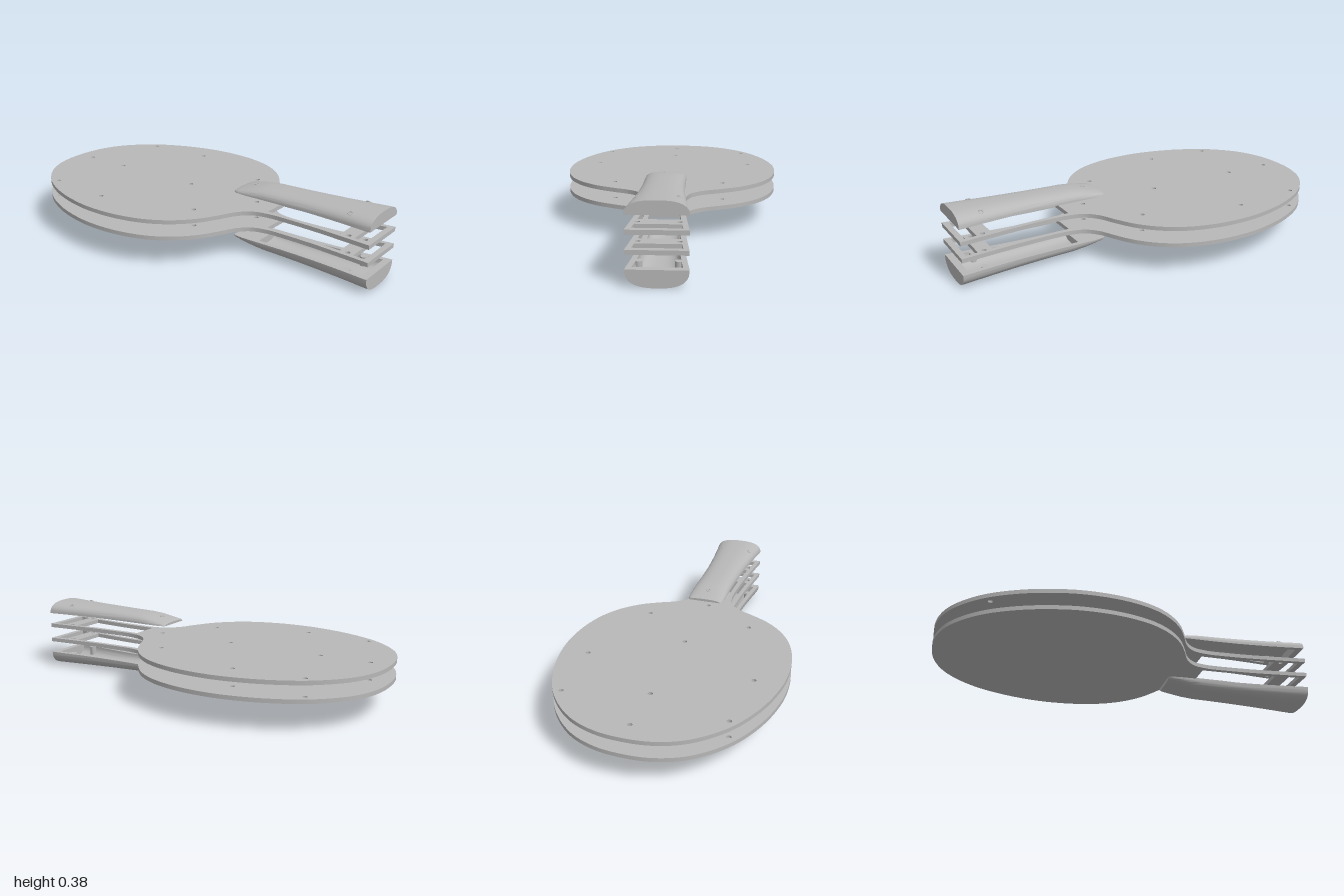
import * as THREE from 'three';
import { toCreasedNormals } from 'three/addons/utils/BufferGeometryUtils.js';

const grey = new THREE.MeshStandardMaterial({ color: 0xb8b8b8 });
grey.name = 'plain grey';

// Piecewise linear lookup in [position, value] pairs
function lookup(table, z) {
  for (let i = 1; i < table.length; i++) {
    const [a, va] = table[i - 1], [b, vb] = table[i];
    if (z <= b) return va + (vb - va) * Math.max(0, (z - a) / (b - a));
  }
  return table[table.length - 1][1];
}

const gripWidth = z => lookup([[0.222, 0.086], [0.235, 0.095], [0.28, 0.1], [0.5, 0.1], [0.6, 0.102],
  [0.7, 0.107], [0.8, 0.115], [0.9, 0.125], [0.985, 0.135], [1, 0.135]], z);
const upperHeight = z => lookup([[0.222, 0.013], [0.235, 0.018], [0.34, 0.041], [0.4, 0.047], [1, 0.062]], z);
const lowerHeight = z => lookup([[0.222, 0.018], [0.235, 0.022], [0.34, 0.048], [0.4, 0.056], [1, 0.08]], z);

function mesh(name, geometry) {
  const m = new THREE.Mesh(geometry, grey);
  m.name = name;
  return m;
}

// Domed tunnel along z with closed ends; inward turns its faces to the inside
function dome(stations, width, height, inward = false) {
  const n = 32, pos = [];
  const ring = z => Array.from({ length: n + 1 }, (_, i) => {
    const t = Math.PI * i / n, c = Math.cos(t);
    return [width(z) * Math.sign(c) * Math.abs(c) ** 0.77, height(z) * Math.max(0, Math.sin(t)) ** 0.77, z];
  });
  const tri = (a, b, c) => pos.push(...a, ...(inward ? c : b), ...(inward ? b : c));
  const rings = stations.map(ring);
  for (let s = 0; s + 1 < rings.length; s++) {
    const A = rings[s], B = rings[s + 1];
    for (let i = 0; i < n; i++) {
      tri(A[i], A[i + 1], B[i]);
      tri(B[i], A[i + 1], B[i + 1]);
    }
  }
  const first = rings[0], last = rings[rings.length - 1];
  for (let i = 0; i < n; i++) {
    tri([0, 0, first[0][2]], first[i + 1], first[i]);
    tri([0, 0, last[0][2]], last[i], last[i + 1]);
  }
  const g = new THREE.BufferGeometry();
  g.setAttribute('position', new THREE.Float32BufferAttribute(pos, 3));
  return toCreasedNormals(g, 0.6);
}

// Closed x/z outline from a width rule
function outline(stations, width) {
  return [...stations.map(z => new THREE.Vector2(width(z), z)),
    ...[...stations].reverse().map(z => new THREE.Vector2(-width(z), z))];
}

const circle = (x, z, r) => new THREE.Path().absarc(x, z, r, 0, Math.PI * 2, true);
const gripScrews = [[0, 0.3], [-0.09, 0.875], [0.09, 0.875]];

// Hollow half of the grip, flat side down at y = 0
function gripShell(name, height, screws) {
  const group = new THREE.Group();
  group.name = name;
  const outer = [0.222, 0.228, 0.235, 0.255, 0.28, 0.34, 0.37, 0.4, 0.5, 0.6, 0.7, 0.8, 0.9, 0.985, 1];
  const inner = [0.37, 0.4, 0.5, 0.6, 0.7, 0.8, 0.9, 0.965];
  const innerWidth = z => gripWidth(z) - 0.025;
  const innerHeight = z => height(z) - 0.015;
  group.add(mesh('gripOuter', dome(outer, gripWidth, height)));
  group.add(mesh('gripCavity', dome(inner, innerWidth, innerHeight, true)));
  const rim = new THREE.Shape(outline(outer, gripWidth));
  rim.holes.push(new THREE.Path(outline(inner, innerWidth)));
  group.add(mesh('gripRim', new THREE.ShapeGeometry(rim).rotateX(Math.PI / 2)));
  // Screw posts in the cavity and seats on the surface
  for (const [x, z] of gripScrews) {
    const u = Math.abs(x) / gripWidth(z);
    const y = height(z) * (1 - u ** 2.6) ** (1 / 2.6);
    if (x) {
      const h = y - 0.012;
      const post = mesh('screwPost', new THREE.CylinderGeometry(0.018, 0.018, h, 20));
      post.position.set(x * 0.97, h / 2, z);
      group.add(post);
    }
    if (screws) {
      const seat = mesh('screwSeat', new THREE.TorusGeometry(0.01, 0.003, 8, 24).rotateX(Math.PI / 2));
      seat.position.set(x, y, z);
      seat.rotation.set(x ? 0 : -0.2, 0, -Math.sign(x) * 0.6);
      group.add(seat);
    }
  }
  return group;
}

// Paddle outline: oval head running into the flared grip
function bladeShape() {
  const half = [[0, -1], [0.14, -0.985], [0.28, -0.925], [0.42, -0.79], [0.515, -0.61], [0.566, -0.42],
    [0.577, -0.28], [0.563, -0.13], [0.52, 0.01], [0.455, 0.115], [0.365, 0.2], [0.27, 0.255],
    [0.18, 0.3], [0.125, 0.355], [0.102, 0.44], [0.101, 0.56], [0.107, 0.7], [0.122, 0.87], [0.135, 1]];
  const all = [...half.slice(1).reverse().map(([x, z]) => [-x, z]), ...half];
  const curve = new THREE.CatmullRomCurve3(all.map(([x, z]) => new THREE.Vector3(x, z, 0)), false, 'centripetal');
  return new THREE.Shape(curve.getPoints(216).map(p => new THREE.Vector2(p.x, p.y)));
}

// Flat plate hanging down from the height top
function plate(name, top, depth, drilled) {
  const shape = bladeShape();
  // Two windows in the grip, with a cross bar between them
  for (const [z0, z1] of [[0.42, 0.835], [0.91, 0.97]]) {
    const zs = Array.from({ length: 8 }, (_, i) => z0 + (z1 - z0) * i / 7);
    shape.holes.push(new THREE.Path(outline(zs, z => gripWidth(z) - 0.025)));
  }
  if (drilled) {
    const holes = [[0, -0.9], [0, -0.645], [0, -0.135], ...gripScrews];
    for (const s of [-1, 1]) holes.push([s * 0.405, -0.745], [s * 0.43, -0.39], [s * 0.28, 0.113]);
    for (const [x, z] of holes) shape.holes.push(circle(x, z, 0.012));
  }
  const g = new THREE.ExtrudeGeometry(shape, { depth, bevelEnabled: false, curveSegments: 16 });
  const m = mesh(name, toCreasedNormals(g.rotateX(Math.PI / 2), 0.5));
  m.position.y = top;
  return m;
}

export function createModel() {
  const model = new THREE.Group();
  model.name = 'explodedPaddle';

  const upper = gripShell('upperGrip', upperHeight, true);
  upper.position.y = 0.314;
  const lower = gripShell('lowerGrip', lowerHeight, false);
  lower.rotation.z = Math.PI;
  lower.position.y = 0.08;
  model.add(upper, lower);

  // Drilled top plate; bottom plate with blind holes
  model.add(plate('upperBlade', 0.251, 0.021, true));
  model.add(plate('lowerBlade', 0.165, 0.012, true));
  model.add(plate('lowerBladeFloor', 0.153, 0.009, false));
  return model;
}
